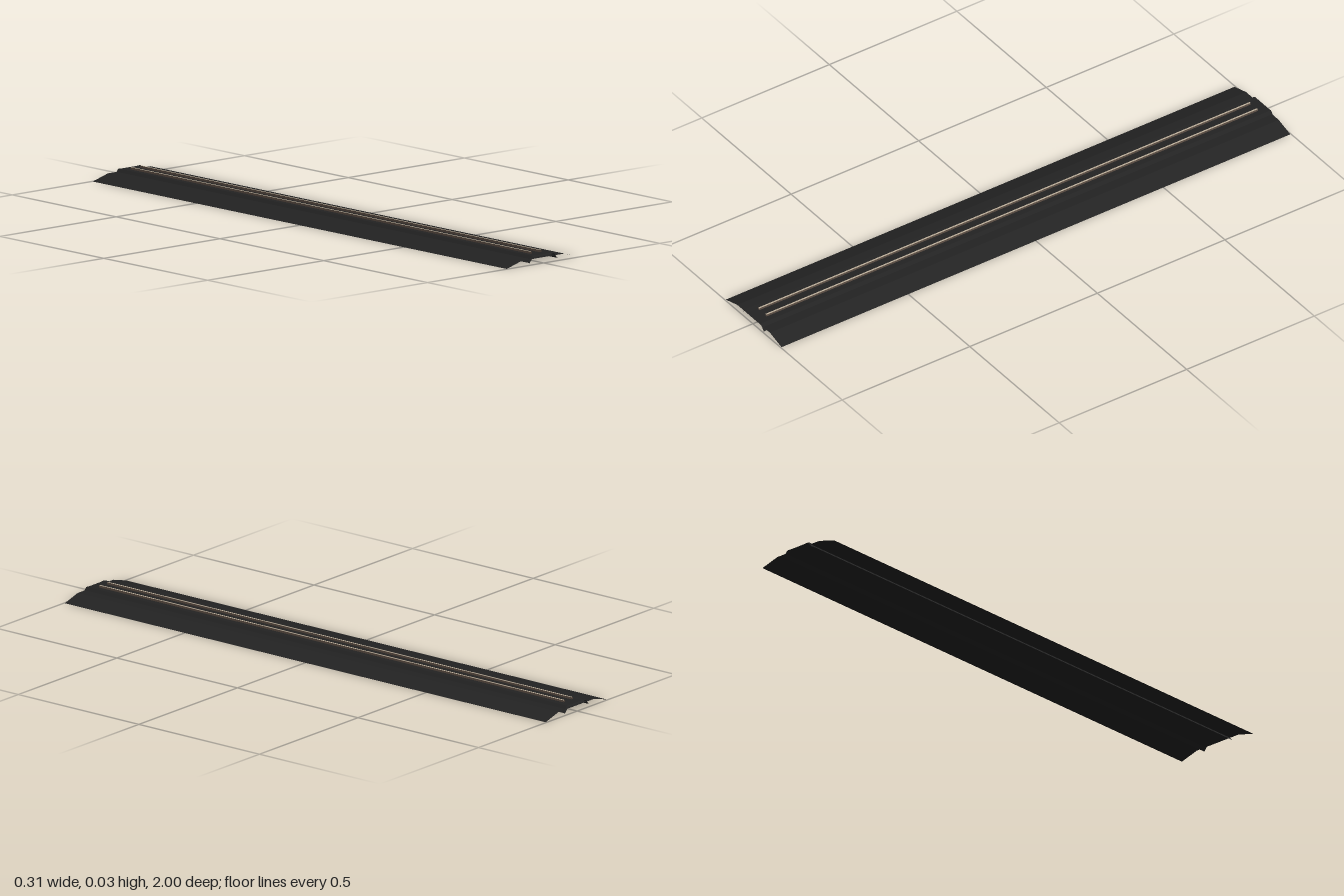
import * as THREE from 'three';

const ballastMat = new THREE.MeshStandardMaterial({ color: 0x232323, side: THREE.DoubleSide });
ballastMat.name = 'dark ballast';
const railTopMat = new THREE.MeshStandardMaterial({ color: 0xbcae9a, side: THREE.DoubleSide });
railTopMat.name = 'worn rail steel';
const railSideMat = new THREE.MeshStandardMaterial({ color: 0x5e5045, side: THREE.DoubleSide });
railSideMat.name = 'rusty rail side';

// Open sheet through cross-sections; each section is { z, pts: [[x, y], ...] } ordered from -x to +x, z ascending
function sheet(name, sections, material) {
  const pos = [];
  for (let s = 0; s < sections.length - 1; s++) {
    const a = sections[s], b = sections[s + 1];
    for (let i = 0; i < a.pts.length - 1; i++) {
      const p = [...a.pts[i], a.z], q = [...a.pts[i + 1], a.z];
      const r = [...b.pts[i], b.z], t = [...b.pts[i + 1], b.z];
      pos.push(...p, ...r, ...q, ...q, ...r, ...t);
    }
  }
  const geo = new THREE.BufferGeometry();
  geo.setAttribute('position', new THREE.Float32BufferAttribute(pos, 3));
  geo.computeVertexNormals();
  const mesh = new THREE.Mesh(geo, material);
  mesh.name = name;
  return mesh;
}

const extrude = (name, pts, half, material) =>
  sheet(name, [{ z: -half, pts }, { z: half, pts }], material);

export function createModel() {
  const group = new THREE.Group();
  group.name = 'railwayTrack';

  // Wide embankment with sloping shoulders
  group.add(extrude('embankment',
    [[-0.156, 0], [-0.091, 0.0185], [0.091, 0.0185], [0.156, 0]], 0.997, ballastMat));

  // Raised track bed, turned down slightly at both ends
  const bed = [[-0.063, 0.008], [-0.045, 0.0285], [-0.03, 0.0275], [0.03, 0.0275], [0.045, 0.0285], [0.063, 0.008]];
  const lip = bed.map(([x, y]) => [x * 0.98, y - 0.002]);
  group.add(sheet('trackBed', [
    { z: -1, pts: lip }, { z: -0.995, pts: bed }, { z: 0.995, pts: bed }, { z: 1, pts: lip },
  ], ballastMat));

  // Pair of rails: bright running surface on two rusty walls
  for (const side of [-1, 1]) {
    const rail = new THREE.Group();
    rail.name = side > 0 ? 'leftRail' : 'rightRail';
    const x0 = side * 0.0205 - 0.003, x1 = side * 0.0205 + 0.003;
    const low = 0.0275, high = 0.0345;
    rail.add(
      extrude('railTop', [[x0, high], [x1, high]], 0.963, railTopMat),
      extrude('railWallRight', [[x0, low], [x0, high]], 0.963, railSideMat),
      extrude('railWallLeft', [[x1, high], [x1, low]], 0.963, railSideMat),
    );
    group.add(rail);
  }
  return group;
}
